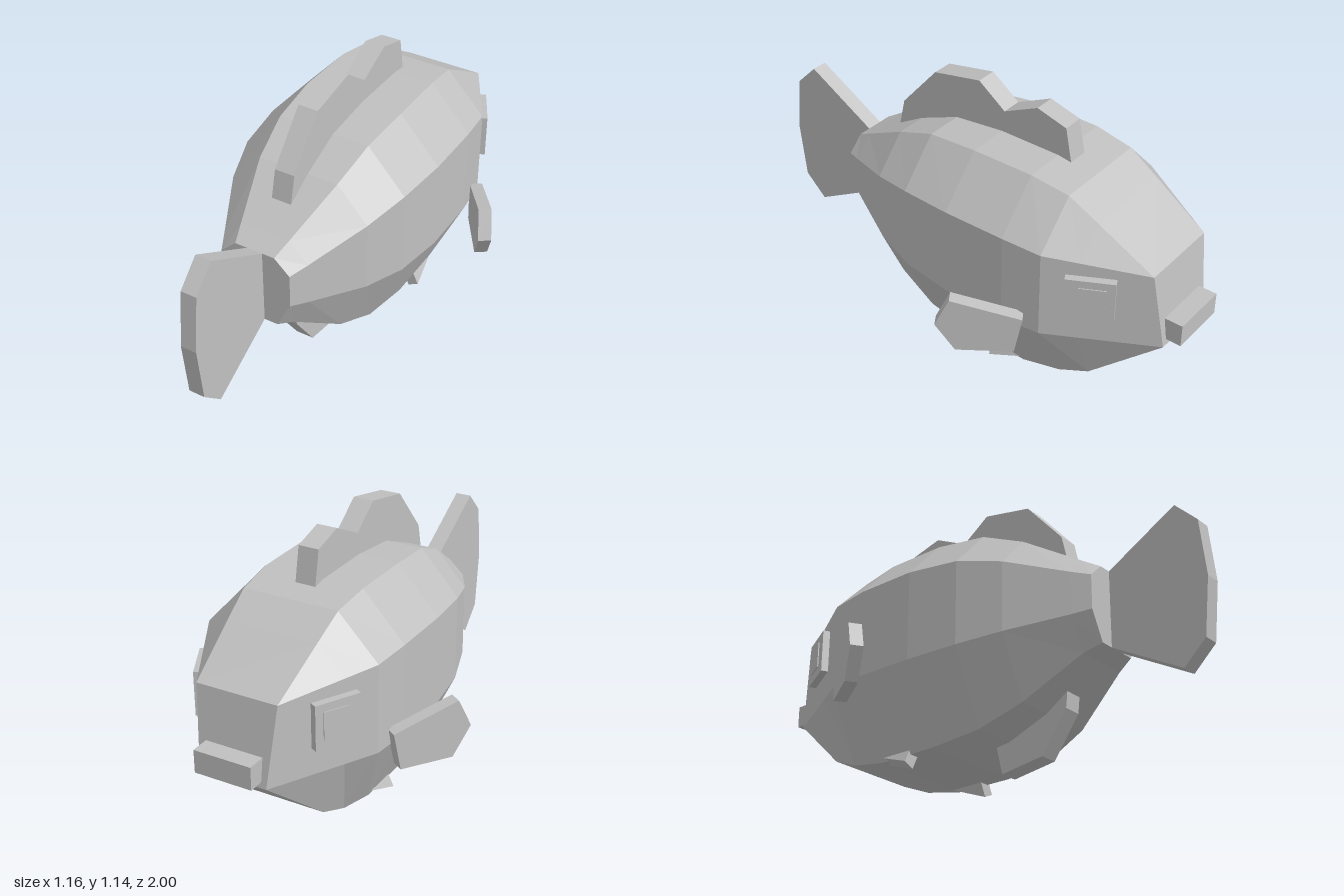
import * as THREE from 'three';

const grey = new THREE.MeshStandardMaterial({ color: 0xc0c0c0, flatShading: true });
grey.name = 'light grey';

function add(group, name, geometry) {
  const mesh = new THREE.Mesh(geometry, grey);
  mesh.name = name;
  group.add(mesh);
  return mesh;
}

// Flat plate from [u, v] outline points
function plate(points, depth) {
  const shape = new THREE.Shape(points.map(([u, v]) => new THREE.Vector2(u, v)));
  return new THREE.ExtrudeGeometry(shape, { depth, bevelEnabled: false });
}

// Upright fin with a [z, y] outline, centred across x
function fin(points, width) {
  return plate(points, width).translate(0, 0, -width / 2).rotateY(-Math.PI / 2);
}

// Copy on the other side, with corner order restored
function mirrored(geometry) {
  const g = geometry.index ? geometry.toNonIndexed() : geometry.clone();
  g.scale(-1, 1, 1);
  const p = g.attributes.position;
  const a = new THREE.Vector3(), b = new THREE.Vector3();
  for (let i = 0; i < p.count; i += 3) {
    a.fromBufferAttribute(p, i);
    b.fromBufferAttribute(p, i + 2);
    p.setXYZ(i, b.x, b.y, b.z);
    p.setXYZ(i + 2, a.x, a.y, a.z);
  }
  g.computeVertexNormals();
  return g;
}

function addPair(group, name, geometry) {
  add(group, 'left' + name, geometry);
  add(group, 'right' + name, mirrored(geometry));
}

// Eight-sided body lofted from tail to nose
function bodyGeometry() {
  // z, top x, top y, side x, upper y, lower y, bottom x, bottom y
  const stations = [
    [0.58, 0.085, 0.69, 0.15, 0.63, 0.49, 0.09, 0.375],
    [0.51, 0.105, 0.73, 0.185, 0.65, 0.475, 0.115, 0.345],
    [0.28, 0.17, 0.865, 0.30, 0.725, 0.435, 0.185, 0.19],
    [0.10, 0.195, 0.94, 0.355, 0.765, 0.415, 0.215, 0.12],
    [-0.12, 0.21, 0.965, 0.38, 0.78, 0.408, 0.23, 0.095],
    [-0.38, 0.207, 0.965, 0.377, 0.78, 0.41, 0.228, 0.095],
    [-0.54, 0.197, 0.94, 0.36, 0.77, 0.41, 0.215, 0.125],
    [-0.665, 0.187, 0.867, 0.292, 0.755, 0.41, 0.20, 0.175],
  ];
  const ring = (t, u, l, b) => {
    const flip = ([x, y, z]) => [-x, y, z];
    return [t, flip(t), flip(u), flip(l), flip(b), b, l, u];
  };
  const rings = stations.map(([z, tx, ty, sx, uy, ly, bx, by]) =>
    ring([tx, ty, z], [sx, uy, z], [sx, ly, z], [bx, by, z]));
  // The nose closes to a four-cornered face
  const brow = [0.167, 0.728, -0.895], chin = [0.14, 0.41, -0.942];
  rings.push(ring(brow, brow, chin, chin));

  const out = [];
  const tri = (a, b, c) => {
    const same = (p, q) => p.every((v, i) => v === q[i]);
    if (!same(a, b) && !same(b, c) && !same(a, c)) out.push(...a, ...b, ...c);
  };
  for (let i = 0; i < rings.length - 1; i++) {
    for (let j = 0; j < 8; j++) {
      const k = (j + 1) % 8, r = rings[i], s = rings[i + 1];
      tri(r[j], s[j], r[k]);
      tri(r[k], s[j], s[k]);
    }
  }
  const tail = rings[0], nose = rings[rings.length - 1];
  for (let j = 1; j < 7; j++) {
    tri(tail[0], tail[j], tail[j + 1]);
    tri(nose[0], nose[j + 1], nose[j]);
  }
  const g = new THREE.BufferGeometry();
  g.setAttribute('position', new THREE.Float32BufferAttribute(out, 3));
  g.computeVertexNormals();
  return g;
}

export function createModel() {
  const fish = new THREE.Group();
  fish.name = 'fish';

  add(fish, 'body', bodyGeometry());

  // Fins on the centre line
  add(fish, 'tailFin', fin([[0.56, 0.68], [0.58, 0.69], [0.88, 0.865], [0.975, 0.77], [1, 0.535],
    [0.975, 0.3], [0.88, 0.208], [0.58, 0.375], [0.56, 0.39]], 0.066));
  add(fish, 'dorsalFin', fin([[0.4, 0.78], [0.37, 0.91], [0.205, 1.1], [-0.01, 1.143], [-0.13, 1.055],
    [-0.28, 1.128], [-0.41, 1.092], [-0.437, 0.955], [-0.42, 0.9], [0.1, 0.88], [0.35, 0.75]], 0.084));
  add(fish, 'analFin', fin([[0.38, 0.28], [0.37, 0.19], [0.255, 0.028], [0.065, 0], [0.03, 0.15],
    [0.2, 0.25]], 0.076));

  // Side fins sweep back and outwards
  addPair(fish, 'PectoralFin', plate([[0, 0.475], [0.03, 0.32], [0.25, 0.313], [0.325, 0.43],
    [0.27, 0.547]], 0.052).rotateY(-0.988).translate(0.4, 0, -0.497));

  // Small fins under the belly
  addPair(fish, 'PelvicFin', fin([[-0.23, 0], [-0.38, 0.06], [-0.38, 0.14], [-0.23, 0.14]], 0.048)
    .translate(0.024, 0, 0).rotateZ(0.43).translate(0.215, 0.04, 0));

  // Square eyes with a thin pupil plate
  const eye = (w, h, d, x, y) => new THREE.BoxGeometry(w, h, d)
    .translate(x, y, d / 2).rotateY(-1.08).translate(0.298, 0.61, -0.715);
  addPair(fish, 'Eye', eye(0.185, 0.18, 0.06, 0, 0));
  addPair(fish, 'Pupil', eye(0.1, 0.11, 0.008, -0.01, 0.003).translate(0.0035, 0, -0.002));

  // Mouth block
  add(fish, 'mouth', new THREE.BoxGeometry(0.236, 0.092, 0.12).translate(0, 0.479, -0.94));

  return fish;
}
